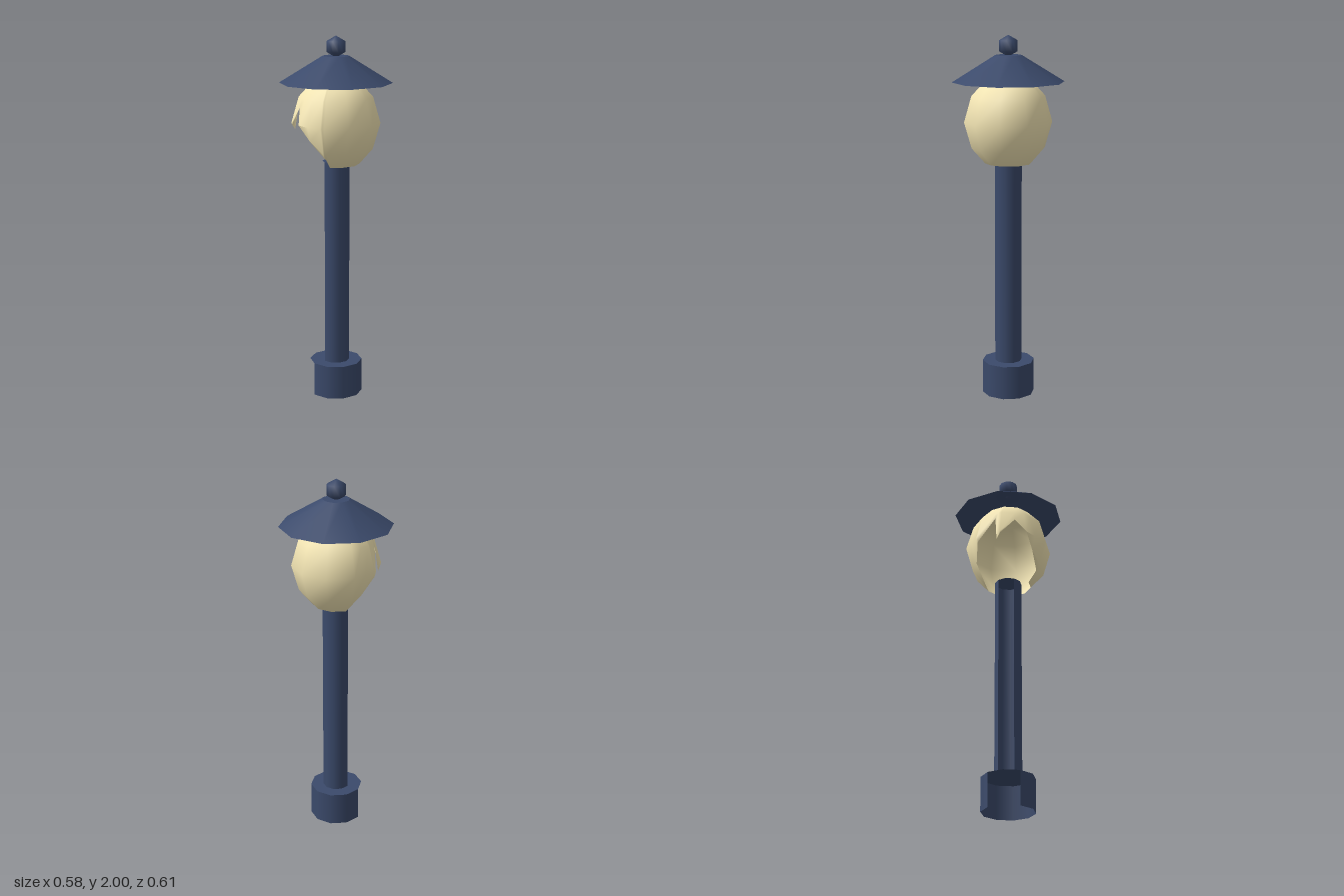
import * as THREE from 'three';

const SIDES = 10;
const rad = THREE.MathUtils.degToRad;
const navy = new THREE.MeshStandardMaterial({ color: 0x3b4a6b, side: THREE.DoubleSide });
const cream = new THREE.MeshStandardMaterial({ color: 0xf5e7b5, side: THREE.DoubleSide });

function add(group, name, geometry, material, y) {
  const mesh = new THREE.Mesh(geometry, material);
  mesh.name = name;
  mesh.position.y = y;
  group.add(mesh);
}

// Open ten-sided tube with its two back corner panels missing, closed by a lid
function brokenTube(group, name, radius, bottom, top) {
  const wall = new THREE.CylinderGeometry(radius, radius, top - bottom, SIDES - 2, 1, true, rad(252), rad(288));
  add(group, name + 'Wall', wall, navy, (bottom + top) / 2);
  const lid = new THREE.CircleGeometry(radius, SIDES, Math.PI / 2);
  lid.rotateX(-Math.PI / 2);
  add(group, name + 'Lid', lid, navy, top);
}

// Globe rings as [height, radius]
const rings = [[1.31, 0.127], [1.393, 0.2], [1.534, 0.24], [1.675, 0.2], [1.755, 0.127], [1.79, 0]];

// Jagged lower edge of the broken glass as [degrees from the hole's middle, height]
const crack = [[-72, 1.31], [-54, 1.41], [-38, 1.495], [-6, 1.495], [-10, 1.64],
  [21, 1.625], [51, 1.455], [74, 1.36], [77, 1.31]].sort((a, b) => a[0] - b[0]);
const HOLE = 216;

function interpolate(points, x) {
  if (x <= points[0][0]) return points[0][1];
  for (let i = 1; i < points.length; i++) {
    const [x0, y0] = points[i - 1], [x1, y1] = points[i];
    if (x <= x1) return y0 + (y1 - y0) * (x - x0) / (x1 - x0);
  }
  return points[points.length - 1][1];
}

// Point on the faceted globe at an azimuth (degrees) and height
function globePoint(azimuth, y) {
  const r = interpolate(rings, y);
  const k = Math.floor(azimuth / 36 + 1e-6);
  const t = azimuth / 36 - k;
  const a = rad(k * 36), b = rad((k + 1) * 36);
  return [r * (Math.sin(a) * (1 - t) + Math.sin(b) * t), y, r * (Math.cos(a) * (1 - t) + Math.cos(b) * t)];
}

function brokenGlobe() {
  const columns = [...new Set([
    ...Array.from({ length: SIDES }, (_, i) => i * 36),
    ...crack.map(([a]) => a + HOLE),
  ])].sort((a, b) => a - b);
  const rows = rings.length, positions = [], index = [];
  columns.forEach((azimuth, i) => {
    const low = interpolate(crack, azimuth - HOLE);
    for (const [y] of rings) positions.push(...globePoint(azimuth, Math.max(y, low)));
    const next = (i + 1) % columns.length;
    for (let j = 0; j < rows - 1; j++) {
      const a = i * rows + j, b = next * rows + j;
      index.push(a, b, b + 1, a, b + 1, a + 1);
    }
  });
  const geometry = new THREE.BufferGeometry();
  geometry.setAttribute('position', new THREE.Float32BufferAttribute(positions, 3));
  geometry.setIndex(index);
  geometry.computeVertexNormals();
  return geometry;
}

export function createModel() {
  const lamp = new THREE.Group();
  lamp.name = 'brokenStreetLamp';

  // Base and post
  brokenTube(lamp, 'base', 0.145, 0, 0.187);
  brokenTube(lamp, 'post', 0.074, 0.187, 1.325);

  // Glass globe with a hole at the lower back
  add(lamp, 'globe', brokenGlobe(), cream, 0);

  // Hollow roof with a flat top
  add(lamp, 'roof', new THREE.CylinderGeometry(0.072, 0.305, 0.143, SIDES, 1, true), navy, 1.8215);
  const top = new THREE.CircleGeometry(0.072, SIDES, Math.PI / 2);
  top.rotateX(-Math.PI / 2);
  add(lamp, 'roofTop', top, navy, 1.893);

  // Finial ball
  const ball = new THREE.SphereGeometry(0.058, SIDES, 3);
  ball.rotateY(Math.PI / 2);
  add(lamp, 'finial', ball, navy, 1.942);

  return lamp;
}
